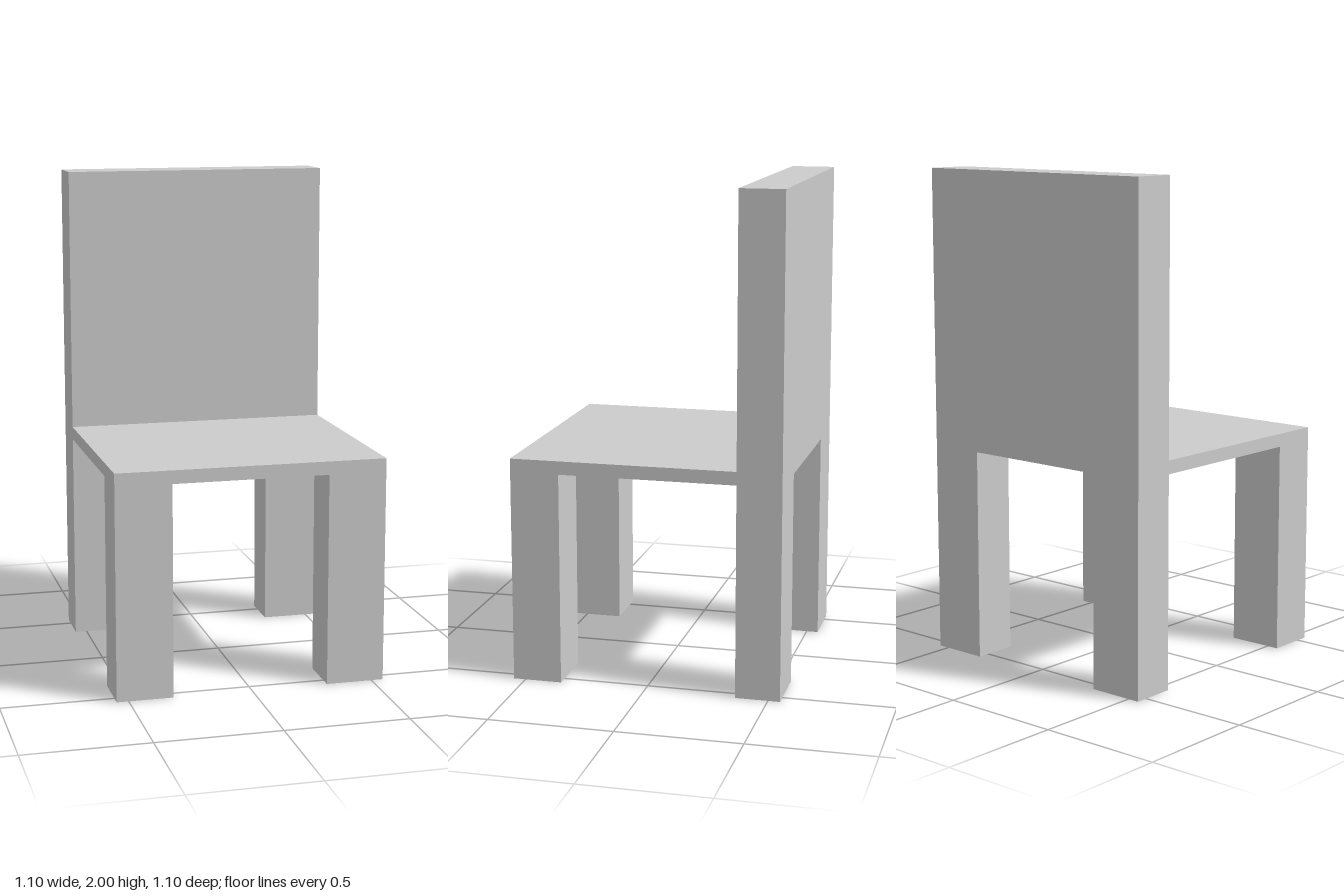
import * as THREE from 'three';

const HALF = 0.548;            // half width and half depth
const SEAT_BOTTOM = 0.862;
const SEAT_TOP = 0.916;
const BACK_FRONT = -0.368;     // front face of the backrest
const FRONT_LEG_BACK = 0.349;  // rear face of the front legs
const LEG_SPANS = { right: [-HALF, -0.32], left: [0.312, HALF] };

export function createModel() {
  const model = new THREE.Group();
  model.name = 'chair';
  const material = new THREE.MeshStandardMaterial({ color: 0xcccccc, flatShading: true });

  const add = (name, geometry) => {
    const mesh = new THREE.Mesh(geometry, material);
    mesh.name = name;
    model.add(mesh);
    return mesh;
  };

  // Box given by its extents along each axis
  const addBox = (name, [x0, x1], [y0, y1], [z0, z1]) =>
    add(name, new THREE.BoxGeometry(x1 - x0, y1 - y0, z1 - z0))
      .position.set((x0 + x1) / 2, (y0 + y1) / 2, (z0 + z1) / 2);

  // Thin seat slab, butted against the backrest
  addBox('seat', [-HALF, HALF], [SEAT_BOTTOM, SEAT_TOP], [BACK_FRONT, HALF]);

  // Front legs under the seat corners
  for (const [side, span] of Object.entries(LEG_SPANS)) {
    addBox(`${side}FrontLeg`, span, [0, SEAT_BOTTOM], [FRONT_LEG_BACK, HALF]);
  }

  // Backrest and rear legs: one slab with a notch cut out between the legs
  const innerRight = LEG_SPANS.right[1];
  const innerLeft = LEG_SPANS.left[0];
  const outline = new THREE.Shape([
    [-HALF, 0], [innerRight, 0], [innerRight, SEAT_BOTTOM], [innerLeft, SEAT_BOTTOM],
    [innerLeft, 0], [HALF, 0], [HALF, 2], [-HALF, 2],
  ].map(([x, y]) => new THREE.Vector2(x, y)));
  add('backrestWithRearLegs', new THREE.ExtrudeGeometry(outline, {
    depth: BACK_FRONT + HALF, bevelEnabled: false,
  })).position.z = -HALF;

  return model;
}
